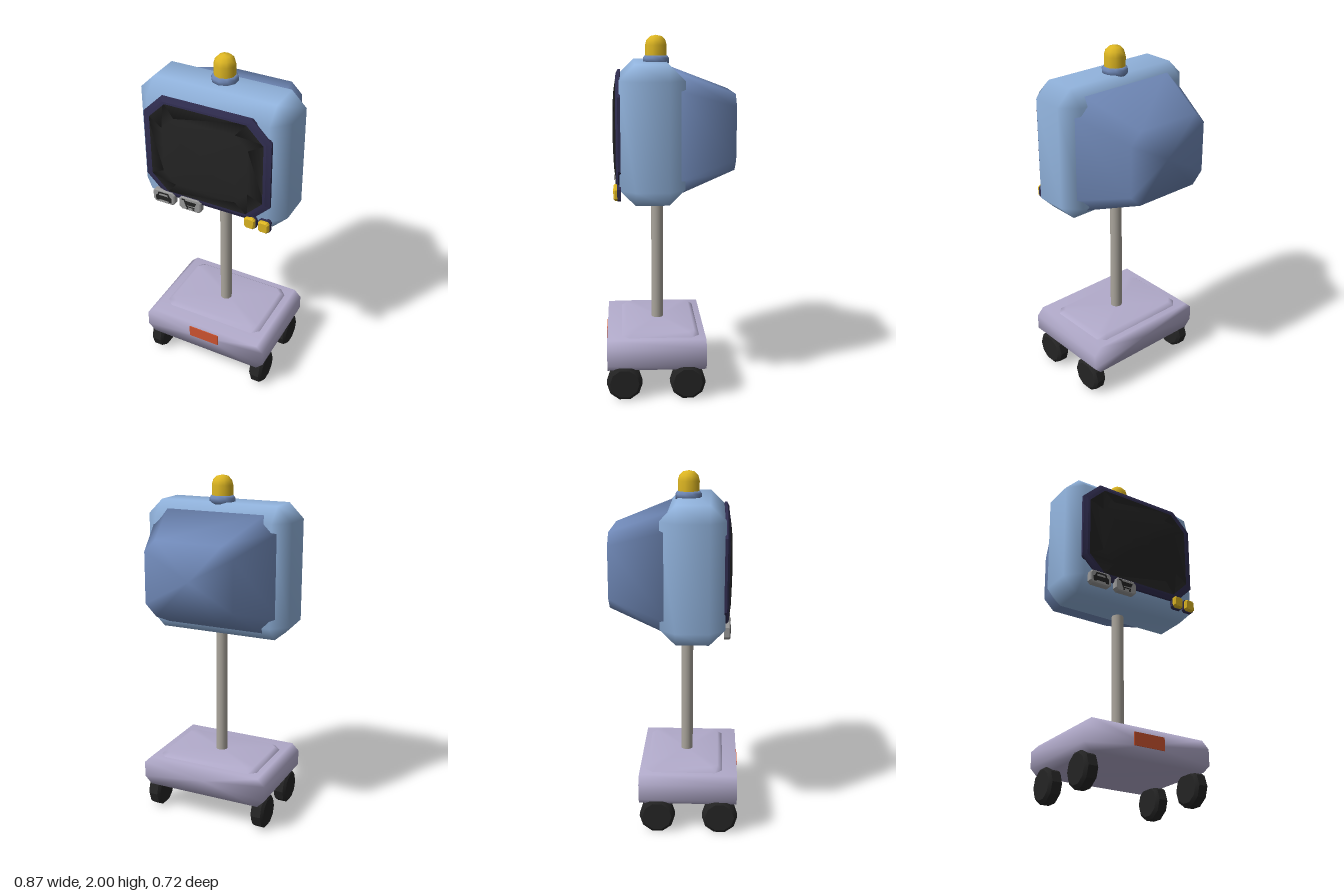
import * as THREE from 'three';
import { mergeVertices, toCreasedNormals } from 'three/addons/utils/BufferGeometryUtils.js';

const paint = (name, color) => {
  const m = new THREE.MeshStandardMaterial({ color });
  m.name = name;
  return m;
};

// Solid through octagonal sections [halfWidth, halfHeight, cornerCut, z], z rising
function loft(sections, crease) {
  const pos = [], idx = [];
  for (const [w, h, c, z] of sections) {
    const ring = [[w, c - h], [w, h - c], [w - c, h], [c - w, h], [-w, h - c], [-w, c - h], [c - w, -h], [w - c, -h]];
    for (const [x, y] of ring) pos.push(x, y, z);
  }
  const last = (sections.length - 1) * 8, centre = sections.length * 8;
  pos.push(0, 0, sections[0][3], 0, 0, sections[sections.length - 1][3]);
  for (let j = 0; j < 8; j++) {
    const k = (j + 1) % 8;
    for (let r = 0; r < last; r += 8) idx.push(r + j, r + k, r + 8 + k, r + j, r + 8 + k, r + 8 + j);
    idx.push(centre, k, j, centre + 1, last + j, last + k);
  }
  let geo = new THREE.BufferGeometry();
  geo.setAttribute('position', new THREE.Float32BufferAttribute(pos, 3));
  geo.setIndex(idx);
  geo = mergeVertices(geo, 1e-5);
  if (crease) return toCreasedNormals(geo, crease);
  geo.computeVertexNormals();
  return geo;
}

export function createModel() {
  const model = new THREE.Group();
  model.name = 'monitorCart';

  const blue = paint('light blue casing', 0x92b4de);
  const slate = paint('slate blue housing', 0x7089b8);
  const navy = paint('dark navy bezel', 0x302d50);
  const black = paint('black', 0x242424);
  const yellow = paint('yellow', 0xdcb522);
  const lavender = paint('lavender base', 0xb2abcb);
  const poleGrey = paint('warm grey pole', 0xaaa59c);
  const panelGrey = paint('panel grey', 0x989898);
  const orange = paint('orange plate', 0xcf5430);

  const add = (name, geo, mat, x = 0, y = 0, z = 0, parent = model) => {
    const m = new THREE.Mesh(geo, mat);
    m.name = name;
    m.position.set(x, y, z);
    parent.add(m);
    return m;
  };

  // Monitor: chamfered casing, tapered rear housing, bezel and bulging glass
  const headY = 1.4825;
  add('monitorCasing', loft([
    [0.35, 0.2875, 0, -0.075], [0.435, 0.3725, 0.085, 0.01],
    [0.435, 0.3725, 0.085, 0.19], [0.35, 0.2875, 0, 0.275],
  ]), blue, 0, headY);
  add('rearHousing', loft([
    [0.26, 0.208, 0.065, -0.357], [0.385, 0.333, 0.088, -0.02],
  ]), slate, 0, headY);
  add('screenBezel', loft([
    [0.37, 0.305, 0.11, 0.268], [0.37, 0.305, 0.11, 0.283], [0.345, 0.283, 0.1, 0.294],
  ], 0.4), navy, 0, 1.493);
  add('screenGlass', loft([
    [0.345, 0.283, 0.1, 0.292], [0.25, 0.205, 0.073, 0.305],
    [0.13, 0.105, 0.038, 0.311], [0.03, 0.025, 0.009, 0.313],
  ]), black, 0, 1.493);

  // Beacon on top
  add('beaconCollar', new THREE.LatheGeometry([
    [0, 1.845], [0.072, 1.845], [0.072, 1.875], [0.062, 1.889], [0, 1.889],
  ].map(p => new THREE.Vector2(...p)), 10), slate, 0, 0, 0.067);
  add('beaconLamp', new THREE.LatheGeometry([
    [0.06, 1.88], [0.06, 1.945], [0.052, 1.973], [0.032, 1.993], [0, 2],
  ].map(p => new THREE.Vector2(...p)), 10), yellow, 0, 0, 0.067);

  // Yellow push buttons on dark mounts
  for (const x of [0.263, 0.344]) {
    add('buttonMount', loft([[0.034, 0.038, 0.012, 0.268], [0.034, 0.038, 0.012, 0.288]], 0.4), navy, x, 1.177);
    add('pushButton', loft([
      [0.031, 0.034, 0.011, 0.287], [0.031, 0.034, 0.011, 0.3], [0.024, 0.027, 0.008, 0.309],
    ], 0.4), yellow, x, 1.177);
  }

  // Grey icon panels
  const panel = loft([
    [0.068, 0.041, 0.015, 0.27], [0.068, 0.041, 0.015, 0.297], [0.062, 0.035, 0.012, 0.303],
  ], 0.4);
  const plate = (points, holes = []) => {
    const s = new THREE.Shape(points.map(p => new THREE.Vector2(...p)));
    s.holes = holes.map(h => new THREE.Path(h.map(p => new THREE.Vector2(...p))));
    return new THREE.ExtrudeGeometry(s, { depth: 0.004, bevelEnabled: false });
  };
  const iconPanel = (name, x) => {
    const g = new THREE.Group();
    g.name = name;
    g.position.set(x, 1.177, 0);
    model.add(g);
    add('panelBody', panel, panelGrey, 0, 0, 0, g);
    return g;
  };
  // Car front with a windscreen opening
  const carPanel = iconPanel('carPanel', -0.262);
  add('carIcon', plate([
    [-0.047, -0.026], [-0.03, -0.026], [-0.03, -0.019], [0.03, -0.019], [0.03, -0.026], [0.047, -0.026],
    [0.05, 0.002], [0.038, 0.01], [0.031, 0.029], [-0.031, 0.029], [-0.038, 0.01], [-0.05, 0.002],
  ], [[[-0.03, 0.007], [-0.024, 0.021], [0.024, 0.021], [0.03, 0.007]]]), black, 0, 0, 0.301, carPanel);
  // Trolley with handle, basket, rail and two wheels
  const trolleyPanel = iconPanel('trolleyPanel', -0.098);
  add('trolleyBasket', plate([
    [-0.05, 0.03], [-0.05, 0.023], [-0.036, 0.023], [-0.022, -0.017], [0.03, -0.017], [0.03, -0.011],
    [-0.016, -0.011], [-0.018, -0.005], [0.032, -0.002], [0.042, 0.021], [-0.026, 0.021], [-0.03, 0.03],
  ]), black, 0, 0, 0.301, trolleyPanel);
  for (const x of [-0.015, 0.023]) {
    add('trolleyWheel', new THREE.CylinderGeometry(0.006, 0.006, 0.004, 8).rotateX(Math.PI / 2),
      black, x, -0.025, 0.303, trolleyPanel);
  }

  // Pole
  add('pole', new THREE.CylinderGeometry(0.034, 0.034, 0.78, 14), poleGrey, 0, 0.75, 0.063);

  // Wheeled base with raised deck and front plate
  add('base', loft([[0.388, 0.0875, 0.042, -0.197], [0.388, 0.0875, 0.042, 0.355]]), lavender, 0, 0.2575);
  add('baseDeck', loft([
    [0.31, 0.217, 0.04, 0.335], [0.31, 0.217, 0.04, 0.345], [0.285, 0.19, 0.035, 0.368],
  ]).rotateX(-Math.PI / 2), lavender, 0, 0, 0.055);
  add('frontPlate', new THREE.BoxGeometry(0.19, 0.072, 0.008), orange, 0, 0.28, 0.356);

  // Wheels with bevelled rims
  const wheel = toCreasedNormals(new THREE.LatheGeometry([
    [0, -0.04], [0.082, -0.04], [0.1, -0.026], [0.1, 0.026], [0.082, 0.04], [0, 0.04],
  ].map(p => new THREE.Vector2(...p)), 10).rotateZ(Math.PI / 2), 0.5);
  for (const x of [-0.337, 0.337]) {
    for (const z of [-0.094, 0.26]) add(z > 0 ? 'frontWheel' : 'rearWheel', wheel, black, x, 0.1, z);
  }

  return model;
}
